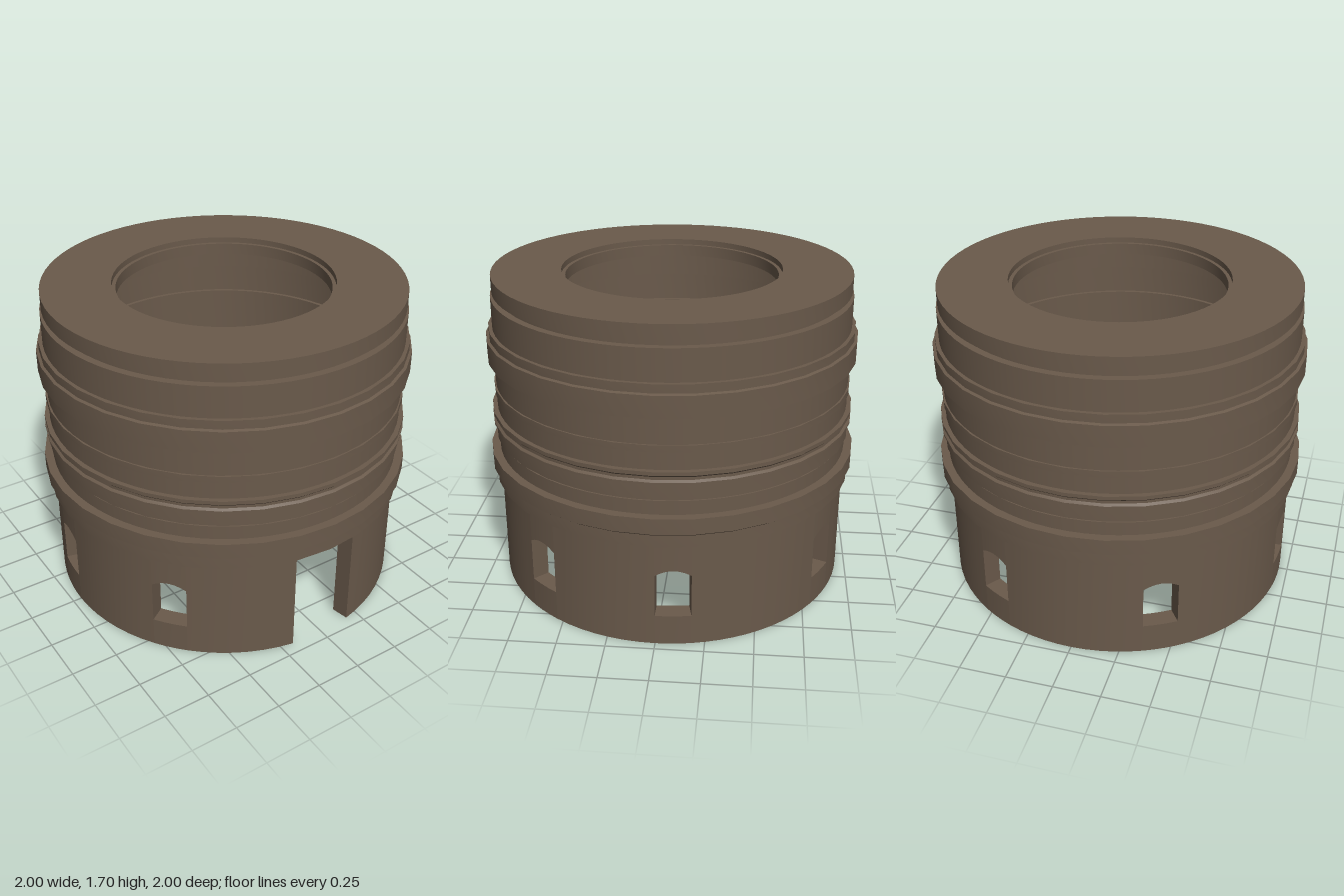
import * as THREE from 'three';
import { toCreasedNormals } from 'three/addons/utils/BufferGeometryUtils.js';

const RAD = Math.PI / 180;
const OUTER = 0.953, INNER = 0.86, SKIRT_TOP = 0.58;

export function createModel() {
  const group = new THREE.Group();
  const brown = new THREE.MeshStandardMaterial({ color: 0x6a5a4b });
  brown.name = 'dark brown';

  const add = (name, geometry, crease = 0.4) => {
    const mesh = new THREE.Mesh(toCreasedNormals(geometry, crease), brown);
    mesh.name = name;
    group.add(mesh);
  };

  // Closed ring turned from [radius, height] points: outside upwards, inside downwards
  const turned = (name, points, sides) => {
    const loop = [...points, points[0]].map(([r, y]) => new THREE.Vector2(r, y));
    add(name, new THREE.LatheGeometry(loop, sides));
  };

  // Curved wall block between two angles; low(t) gives its lower edge
  const wallBlock = (name, from, to, low, high, steps = Math.ceil((to - from) / 5)) => {
    const geometry = new THREE.BoxGeometry(1, 1, 1, steps, 1, 1);
    const p = geometry.attributes.position;
    for (let i = 0; i < p.count; i++) {
      const t = p.getX(i) + 0.5;
      const angle = (from + (to - from) * t) * RAD;
      const r = p.getZ(i) > 0 ? OUTER : INNER;
      p.setXYZ(i, Math.sin(angle) * r, p.getY(i) > 0 ? high : low(t), Math.cos(angle) * r);
    }
    add(name, geometry);
  };

  // Hollow upper body with a grooved neck, thick top plate and stepped bore
  turned('upperBody', [
    [OUTER, SKIRT_TOP], [OUTER, 0.82], [0.945, 0.82], [0.945, 0.835], [OUTER, 0.835],
    [OUTER, 1.59], [0.915, 1.59], [0.915, 1.615], [0.945, 1.615], [0.945, 1.7],
    [0.58, 1.7], [0.58, 1.67], [0.56, 1.67], [0.56, 1.61], [0.84, 1.61],
    [0.84, 1.42], [0.86, 1.42], [0.86, 1.26], [0.84, 1.26],
    [0.84, 0.985], [0.86, 0.985], [0.86, 0.835], [0.84, 0.835],
    [0.84, 0.745], [0.86, 0.745], [0.86, 0.645], [0.83, 0.645], [0.83, SKIRT_TOP],
  ], 72);

  // Raised bands around the outside
  const core = 0.93;
  const bands = {
    lowerFlange: [[0.98, 0.58], [0.98, 0.645], [1, 0.66], [1, 0.745]],
    middleBand: [[0.968, 0.835], [0.968, 0.915]],
    roundedBand: [[0.982, 0.92], [0.982, 0.93], [0.97, 0.94], [0.97, 0.955], [0.98, 0.965], [0.98, 0.985]],
    thinBand: [[0.964, 1.08], [0.964, 1.115]],
    upperFlange: [[0.99, 1.26], [0.99, 1.375], [0.975, 1.38], [0.975, 1.425]],
  };
  for (const [name, outline] of Object.entries(bands)) {
    const top = outline[outline.length - 1][1];
    turned(name, [...outline, [core, top], [core, outline[0][1]]], 32);
  }

  // Slotted skirt: an open doorway at the front and six arched windows
  const half = 5.55, doorway = 10.9;
  const windows = [50.4, 95.5, 151.8, 208.2, 264.5, 309.6];
  let start = doorway;
  for (const centre of windows) {
    const a = centre - half, b = centre + half;
    wallBlock('skirtWall', start, a, () => 0, SKIRT_TOP);
    wallBlock('windowSill', a, b, () => 0, 0.165);
    wallBlock('windowArch', a, b, t => 0.4 + 0.03 * (1 - (2 * t - 1) ** 2), SKIRT_TOP, 6);
    start = b;
  }
  wallBlock('skirtWall', start, 360 - doorway, () => 0, SKIRT_TOP);

  return group;
}
